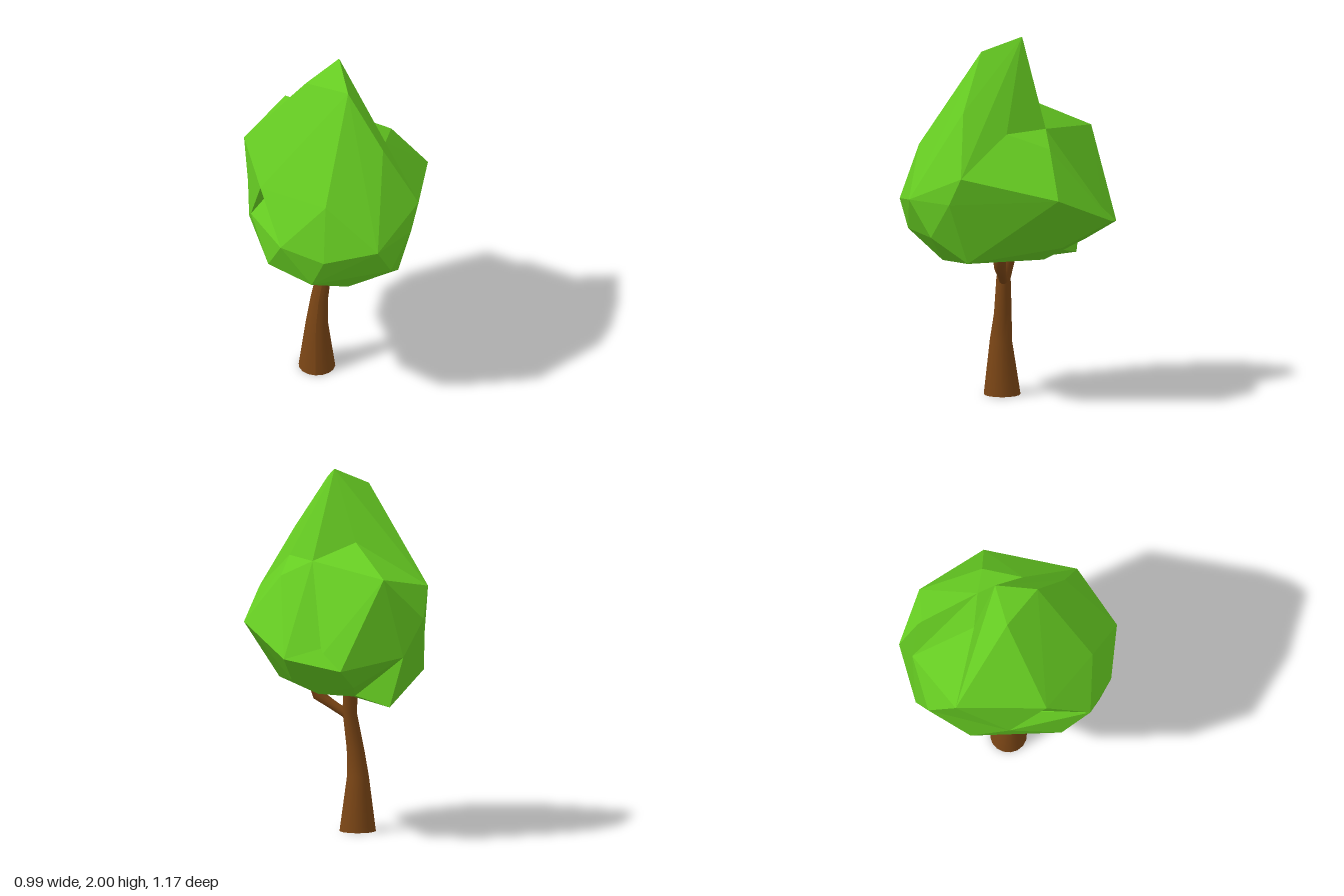
import * as THREE from 'three';
import { ConvexGeometry } from 'three/addons/geometries/ConvexGeometry.js';

const leafMat = new THREE.MeshStandardMaterial({ color: 0x66cc22, flatShading: true });
const barkMat = new THREE.MeshStandardMaterial({ color: 0x7a4515 });

// Corner points of the crown, shared by the faceted lumps
const P = {
  // spire
  peak: [0.03, 2, -0.08], tipFront: [0.10, 1.93, 0.14], tipLeft: [-0.14, 1.91, 0.04],
  shoulder: [0.30, 1.63, 0.235], notch: [0.29, 1.51, 0], saddle: [0.13, 1.51, -0.21], saddleLeft: [-0.10, 1.61, -0.16],
  // widest belt
  sideFront: [0.495, 1.30, 0.245], sideBack: [0.495, 1.18, -0.285], ridge: [0.30, 1.43, -0.235],
  backRight: [0.23, 1.02, -0.57], backValley: [0.03, 1.04, -0.52], backMid: [-0.085, 0.96, -0.59],
  backTop: [-0.30, 1.45, -0.45], backLeft: [-0.495, 1.22, -0.30], leftTop: [-0.495, 1.38, -0.145],
  frontLeft: [-0.36, 1.40, 0.33], frontMid: [0.01, 1.40, 0.48],
  // lower front
  f1: [-0.23, 1.16, 0.54], f2: [0.01, 1.10, 0.585], f3: [0.30, 1.15, 0.53], f4: [0.46, 1.15, 0.31],
  // underside
  l1: [-0.43, 1.08, 0.14], l2: [-0.46, 0.91, -0.07], l3: [-0.31, 0.94, 0.40], l4: [-0.06, 0.92, 0.54],
  l5: [0.36, 0.95, 0.41], l6: [0.38, 0.81, 0.21], u1: [0.12, 0.78, 0.35], u2: [-0.06, 0.74, 0],
  u3: [0.10, 0.78, -0.20], u4: [-0.12, 0.79, -0.30], b1: [0.23, 0.87, -0.30], b2: [-0.13, 0.85, -0.42],
  b3: [-0.40, 1.02, -0.40], spur: [-0.32, 0.74, -0.37],
};

// Each lump is the faceted hull of some of the points
const lumps = {
  crownSpire: 'peak tipFront tipLeft shoulder notch saddle saddleLeft sideFront leftTop frontLeft frontMid f1 f2 f3 f4',
  crownRightLump: 'notch saddle ridge sideFront sideBack backRight backValley u2',
  crownLeftLump: 'saddle saddleLeft backTop backValley backMid backLeft leftTop frontLeft b3 l1',
  crownBase: 'sideFront sideBack backRight backValley backMid backLeft f1 f2 f3 f4 l1 l2 l3 l4 l5 l6 u1 u2 u3 u4 b1 b2 b3',
  crownSpur: 'spur b3 l2 u4 u2 backLeft',
};

// Round limb through stations [x, y, z, radius]; tilt lays each ring across the path
function limb(stations, sides, tilt) {
  const geo = new THREE.CylinderGeometry(1, 1, 1, sides, stations.length - 1);
  const pos = geo.attributes.position;
  const pts = stations.map(s => new THREE.Vector3(s[0], s[1], s[2]));
  const up = new THREE.Vector3(0, 1, 0), v = new THREE.Vector3(), q = new THREE.Quaternion();
  for (let i = 0; i < pos.count; i++) {
    const k = Math.round((pos.getY(i) + 0.5) * (stations.length - 1));
    const dir = pts[Math.min(k + 1, pts.length - 1)].clone().sub(pts[Math.max(k - 1, 0)]).normalize();
    v.set(pos.getX(i), 0, pos.getZ(i)).multiplyScalar(stations[k][3]);
    if (tilt) v.applyQuaternion(q.setFromUnitVectors(up, dir));
    v.add(pts[k]);
    pos.setXYZ(i, v.x, v.y, v.z);
  }
  geo.computeVertexNormals();
  return geo;
}

export function createModel() {
  const tree = new THREE.Group();
  tree.name = 'tree';
  const add = (name, geo, mat) => {
    const mesh = new THREE.Mesh(geo, mat);
    mesh.name = name;
    tree.add(mesh);
  };

  // Crown
  for (const [name, keys] of Object.entries(lumps)) {
    const points = keys.split(' ').map(k => new THREE.Vector3(...P[k]));
    add(name, new ConvexGeometry(points), leafMat);
  }

  // Trunk, bending slightly as it rises
  add('trunk', limb([
    [-0.08, 0, 0.03, 0.10], [-0.08, 0.3, 0.037, 0.06], [-0.068, 0.45, 0.026, 0.048],
    [-0.037, 0.65, 0.022, 0.039], [-0.048, 0.8, -0.01, 0.042],
  ], 16, false), barkMat);

  // Side branch with an upturned end
  add('branch', limb([
    [-0.035, 0.63, 0.02, 0.024], [0.06, 0.69, 0.03, 0.026], [0.14, 0.74, 0.038, 0.032], [0.155, 0.80, 0.04, 0.036],
  ], 12, true), barkMat);

  return tree;
}
